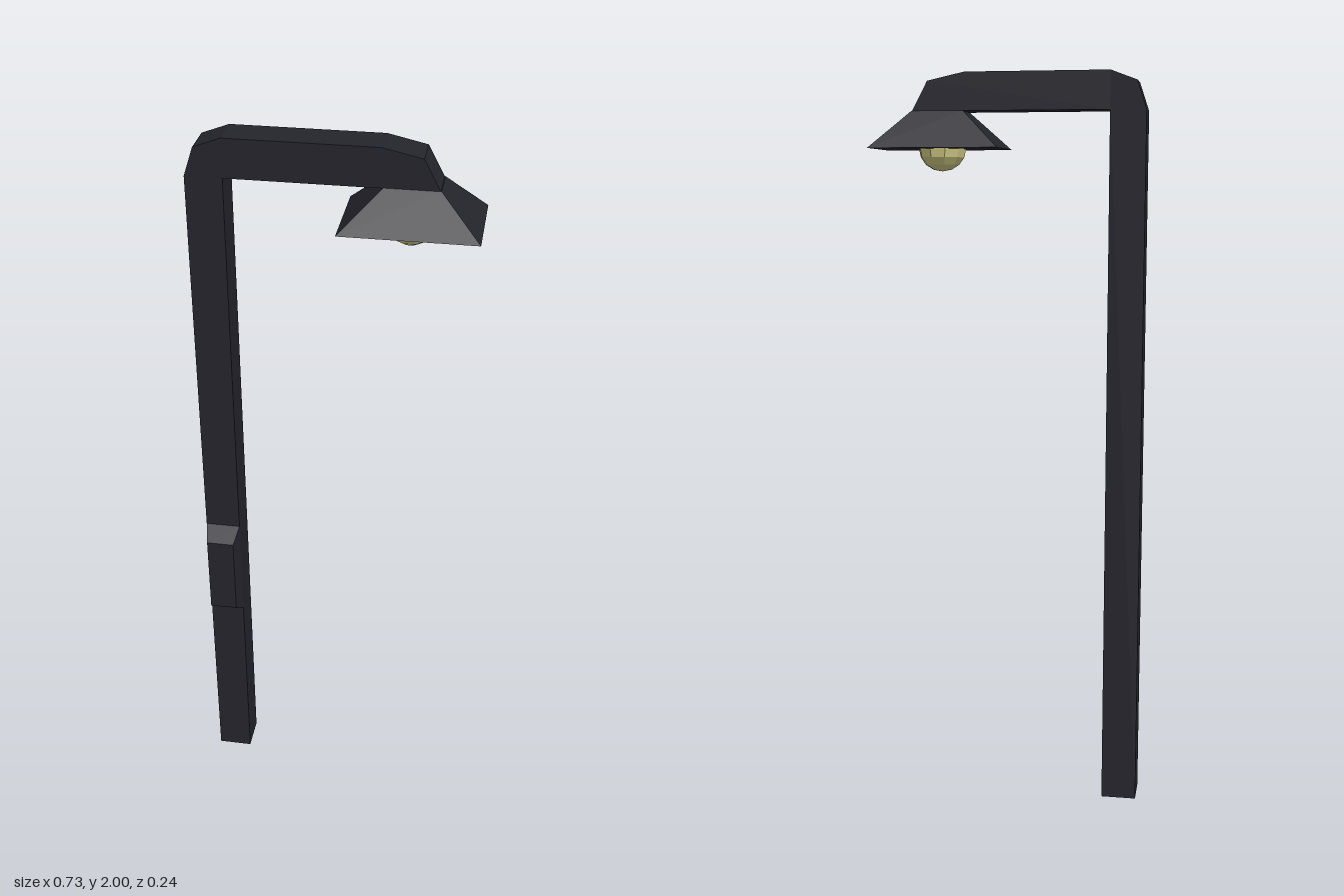
import * as THREE from 'three';

const metal = new THREE.MeshStandardMaterial({ color: 0x24242c, flatShading: true });
const glow = new THREE.MeshStandardMaterial({ color: 0xd2cc86, flatShading: true });

// Box along y whose top face is shrunk by the given x and z ratios
function frustum(width, height, depth, ratioX, ratioZ) {
  const geometry = new THREE.BoxGeometry(width, height, depth);
  const p = geometry.attributes.position;
  for (let i = 0; i < p.count; i++) {
    if (p.getY(i) > 0) {
      p.setX(i, p.getX(i) * ratioX);
      p.setZ(i, p.getZ(i) * ratioZ);
    }
  }
  geometry.computeVertexNormals();
  return geometry;
}

export function createModel() {
  const model = new THREE.Group();
  model.name = 'streetLamp';

  function add(name, geometry, material, x, y, z) {
    const mesh = new THREE.Mesh(geometry, material);
    mesh.name = name;
    mesh.position.set(x, y, z);
    model.add(mesh);
    return mesh;
  }

  // Square post with bevelled elbow and overhanging arm, as one outline
  const outline = new THREE.Shape([
    [-0.365, 0], [-0.27, 0], [-0.27, 1.9], [0.257, 1.9], [0.215, 1.978],
    [0.115, 2], [-0.27, 2], [-0.34, 1.974], [-0.365, 1.9],
  ].map(([x, y]) => new THREE.Vector2(x, y)));
  const post = new THREE.ExtrudeGeometry(outline, { depth: 0.096, bevelEnabled: false });
  add('postAndArm', post, metal, 0, 0, -0.048);

  // Flared rectangular shade
  add('shade', frustum(0.346, 0.098, 0.244, 0.4, 0.394), metal, 0.189, 1.852, 0);

  // Faceted half bulb below the shade
  const bulb = new THREE.SphereGeometry(0.068, 10, 4, 0, Math.PI * 2, Math.PI / 2, Math.PI / 2);
  bulb.scale(0.95, 0.87, 1);
  add('bulb', bulb, glow, 0.185, 1.803, 0);

  // Bevelled service box on the front of the post
  const box = frustum(0.095, 0.045, 0.297, 0.79, 0.77);
  box.rotateX(Math.PI / 2);
  add('serviceBox', box, metal, -0.3175, 0.7135, 0.0705);

  return model;
}
